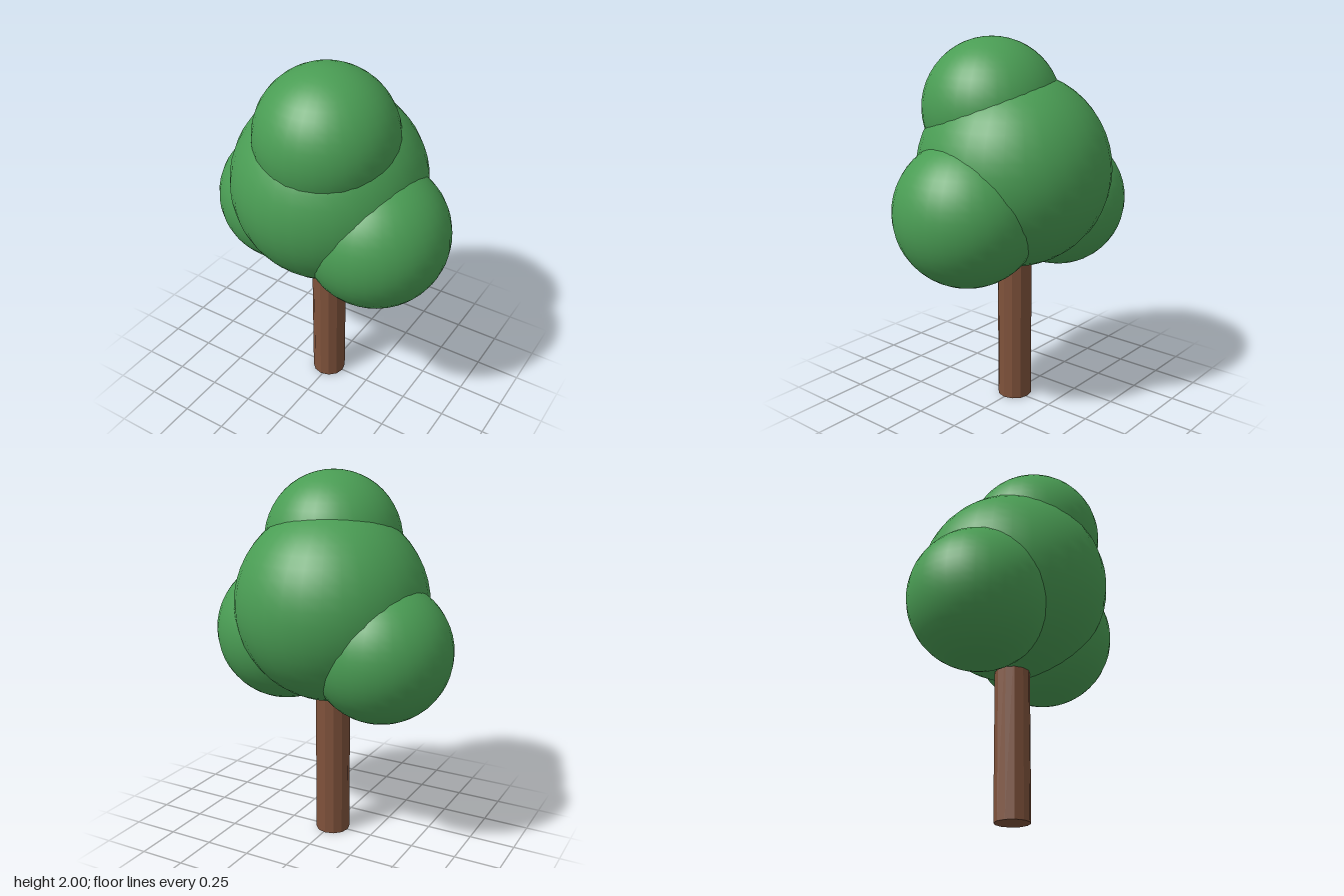
import * as THREE from 'three';

export function createModel() {
  const tree = new THREE.Group();
  tree.name = 'tree';

  const leafGreen = new THREE.MeshStandardMaterial({ color: 0x4a9d54 });
  leafGreen.name = 'leafGreen';
  const barkBrown = new THREE.MeshStandardMaterial({ color: 0x7f523b, flatShading: true });
  barkBrown.name = 'barkBrown';

  // Trunk, a faceted post reaching up into the foliage
  const trunkHeight = 1;
  const trunk = new THREE.Mesh(new THREE.CylinderGeometry(0.094, 0.094, trunkHeight, 12), barkBrown);
  trunk.name = 'trunk';
  trunk.position.set(-0.01, trunkHeight / 2, 0);
  tree.add(trunk);

  // Foliage, four overlapping balls: name, radius, centre
  const balls = [
    ['mainFoliage', 0.52, -0.005, 1.31, 0],
    ['topFoliage', 0.37, 0.045, 1.63, 0.108],
    ['leftFoliage', 0.39, 0.308, 1.125, 0.053],
    ['rightFoliage', 0.375, -0.323, 1.1, -0.057],
  ];
  for (const [name, radius, x, y, z] of balls) {
    const ball = new THREE.Mesh(new THREE.SphereGeometry(radius, 32, 24), leafGreen);
    ball.name = name;
    ball.position.set(x, y, z);
    tree.add(ball);
  }

  return tree;
}
